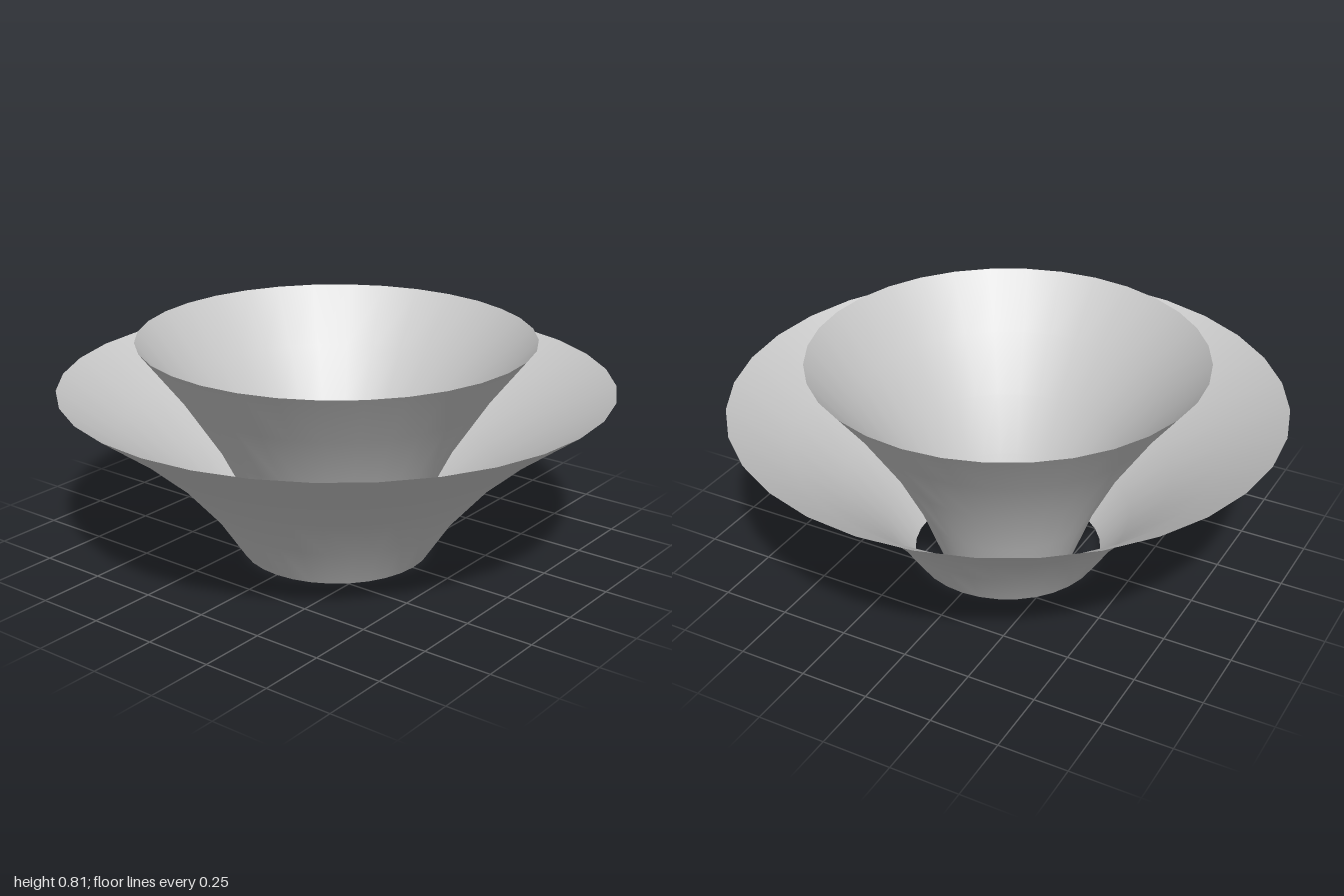
import * as THREE from 'three';

// Flared profile, bottom to top: radius, height
const PROFILE = [[0.35, 0], [0.455, 0.16], [0.6, 0.325], [0.785, 0.487], [1, 0.645]];
const SIDES = 32;

// Open thin-walled flared bowl, scaled in radius and height
function flaredBowl(name, radiusScale, heightScale, material) {
  const points = PROFILE.map(([r, y]) => new THREE.Vector2(r * radiusScale, y * heightScale));
  const mesh = new THREE.Mesh(new THREE.LatheGeometry(points, SIDES), material);
  mesh.name = name;
  return mesh;
}

export function createModel() {
  const group = new THREE.Group();
  group.name = 'nestedBowls';
  const material = new THREE.MeshStandardMaterial({ color: 0xcccccc, side: THREE.DoubleSide });

  // Wide, low outer flare
  group.add(flaredBowl('outerBowl', 1, 1, material));
  // Narrower, taller inner flare
  group.add(flaredBowl('innerBowl', 0.718, 1.257, material));

  return group;
}
